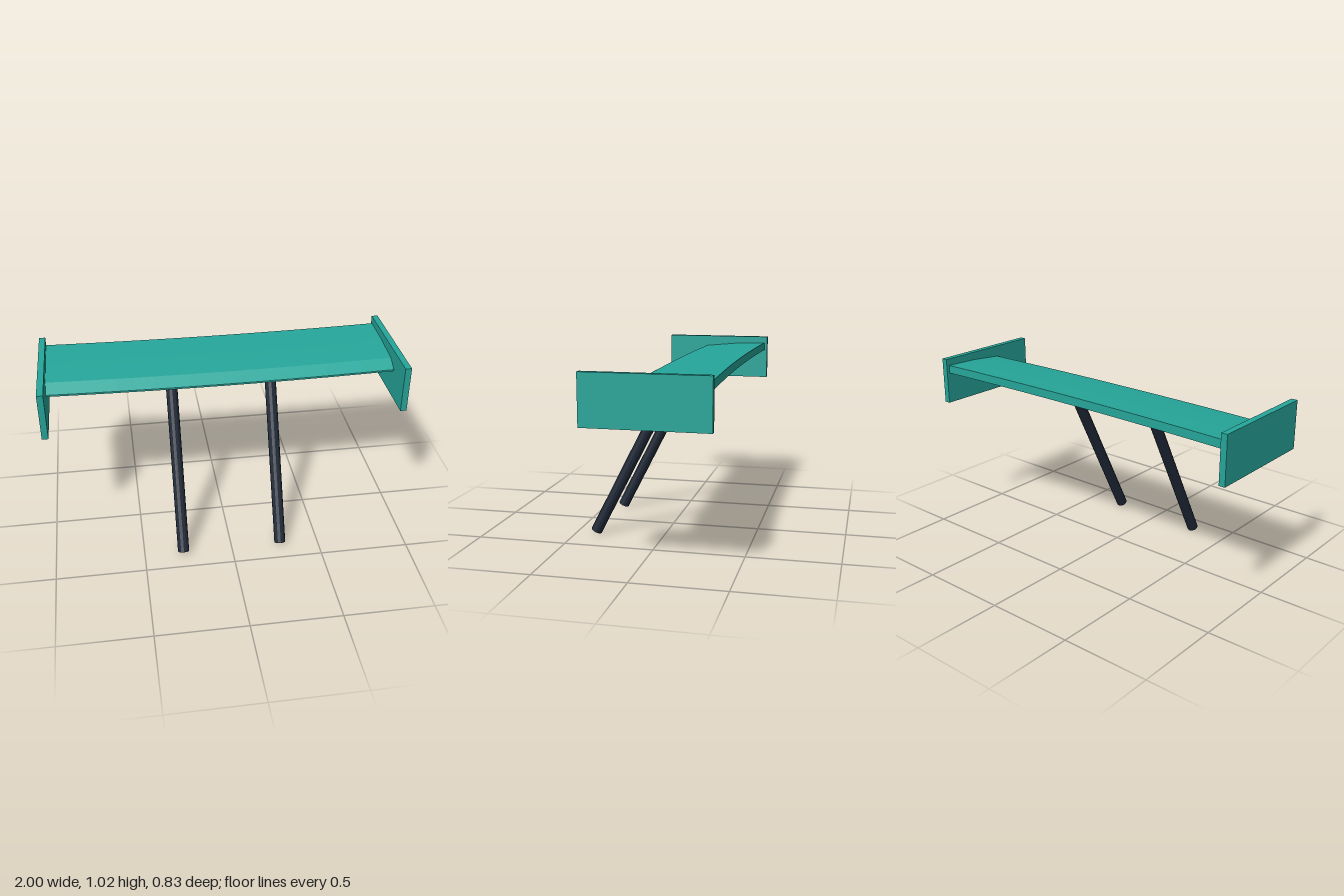
import * as THREE from 'three';
import { toCreasedNormals } from 'three/addons/utils/BufferGeometryUtils.js';

export function createModel() {
  const group = new THREE.Group();
  const teal = new THREE.MeshStandardMaterial({ color: 0x26a69a });
  teal.name = 'teal';
  const darkSlate = new THREE.MeshStandardMaterial({ color: 0x1f2937, flatShading: true });
  darkSlate.name = 'dark slate';

  const add = (name, geometry, material) => {
    const mesh = new THREE.Mesh(geometry, material);
    mesh.name = name;
    group.add(mesh);
    return mesh;
  };

  // Wing blade: side profile as (z, y) at the tips, swept across the span
  const halfSpan = 0.97;
  const profile = [
    [0.06, 0.912], [0.06, 0.922], [-0.01, 0.96], [-0.2, 0.978], [-0.395, 0.985],
    [-0.395, 0.938], [-0.28, 0.92], [-0.15, 0.91],
  ].map(([z, y]) => new THREE.Vector2(z, y));
  const blade = new THREE.ExtrudeGeometry(new THREE.Shape(profile), {
    depth: halfSpan * 2, steps: 10, bevelEnabled: false,
  });
  blade.translate(0, 0, -halfSpan).rotateY(-Math.PI / 2);

  // Bow the middle of the blade gently forward
  const pos = blade.attributes.position;
  for (let i = 0; i < pos.count; i++) {
    const t = pos.getX(i) / halfSpan;
    pos.setZ(i, pos.getZ(i) + 0.022 * (1 - t * t));
  }
  add('wingBlade', toCreasedNormals(blade, 0.3), teal);

  // End plates and slanted supports, mirrored left and right
  const foot = new THREE.Vector3(0, 0.018, 0.386);
  const head = new THREE.Vector3(0, 0.93, -0.078);
  const axis = head.clone().sub(foot);
  for (const [side, label] of [[1, 'left'], [-1, 'right']]) {
    const plate = add(`${label}EndPlate`, new THREE.BoxGeometry(0.035, 0.267, 0.65), teal);
    plate.position.set(side * 0.9825, 0.891, -0.088);

    const post = add(`${label}Support`,
      new THREE.CylinderGeometry(0.032, 0.032, axis.length(), 12), darkSlate);
    post.position.copy(foot).add(head).multiplyScalar(0.5);
    post.position.x = side * 0.28;
    post.quaternion.setFromUnitVectors(new THREE.Vector3(0, 1, 0), axis.clone().normalize());
  }
  return group;
}
